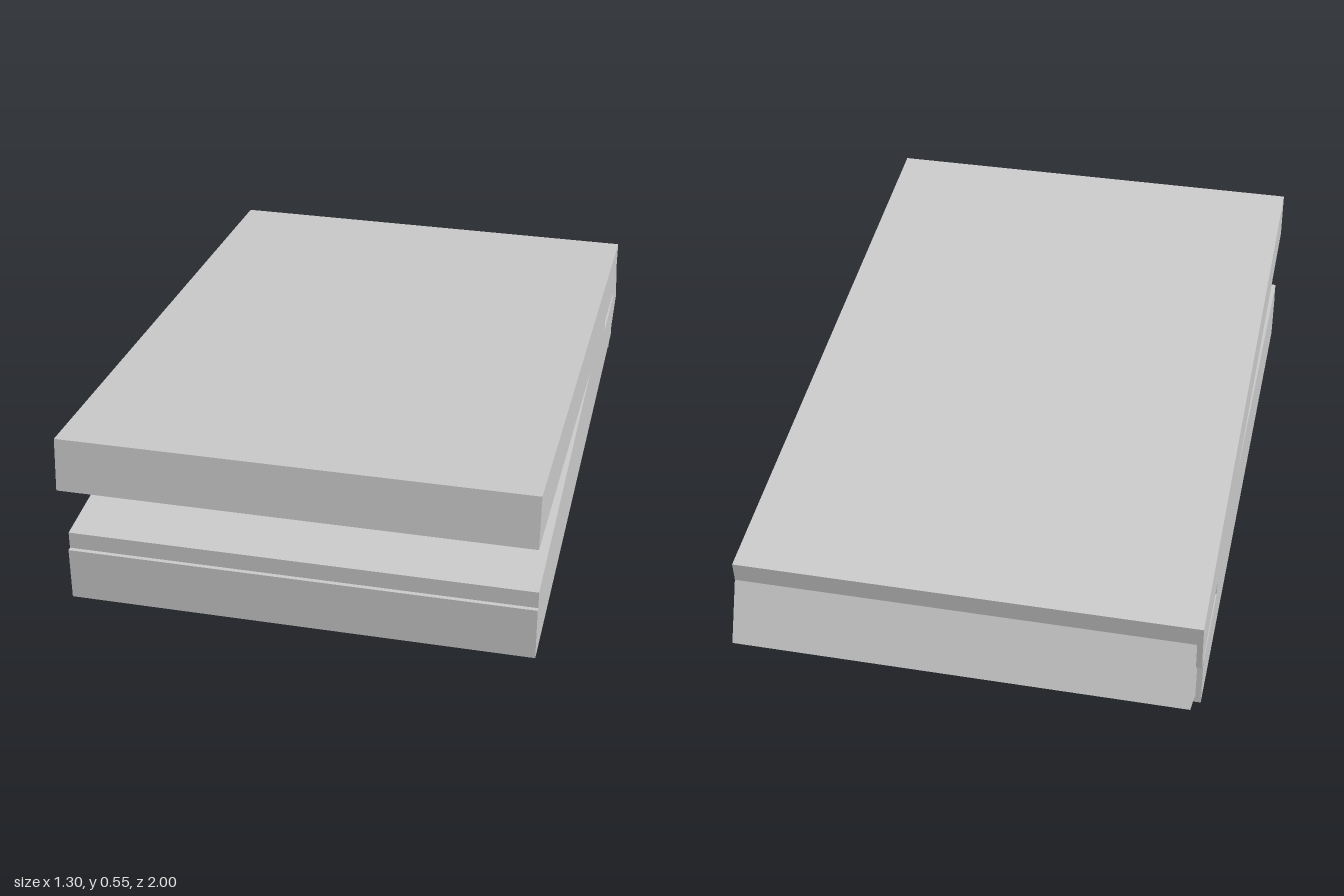
import * as THREE from 'three';

const material = new THREE.MeshStandardMaterial({ color: 0xcccccc, flatShading: true });

// Extrude a side profile of [z, y] points across the width, from xMin to xMax.
function profilePart(name, points, xMin, xMax) {
  const shape = new THREE.Shape(points.map(([z, y]) => new THREE.Vector2(z, y)));
  const geometry = new THREE.ExtrudeGeometry(shape, { depth: xMax - xMin, bevelEnabled: false });
  geometry.rotateY(-Math.PI / 2);
  geometry.translate(xMax, 0, 0);
  const mesh = new THREE.Mesh(geometry, material);
  mesh.name = name;
  return mesh;
}

export function createModel() {
  const group = new THREE.Group();
  group.name = 'hingedSlabs';
  const half = 0.648;

  // Flat lower block
  group.add(profilePart('lowerSlab',
    [[0.957, 0.016], [0.957, 0.172], [-0.88, 0.172], [-0.88, 0.016]], -half, half));

  // Slightly raised layer that runs back into the upper block
  group.add(profilePart('middleLeaf',
    [[0.945, 0.165], [0.945, 0.222], [-0.17, 0.263], [-0.605, 0.279], [-0.605, 0.165]], -half, half));

  // Tilted upper block
  group.add(profilePart('upperSlab',
    [[1.0, 0.395], [0.984, 0.547], [-0.935, 0.335], [-0.918, 0.182]], -half, half));

  // Faceted spine joining both blocks, a little short on the right-hand end
  group.add(profilePart('spine',
    [[-0.93, 0.275], [-1.0, 0.103], [-0.935, 0.072], [-0.88, 0.04], [-0.835, 0.016], [-0.812, 0],
      [-0.79, 0.016], [-0.84, 0.06], [-0.882, 0.13], [-0.855, 0.17], [-0.872, 0.19], [-0.9, 0.25]],
    -0.632, half - 0.0005));

  return group;
}
